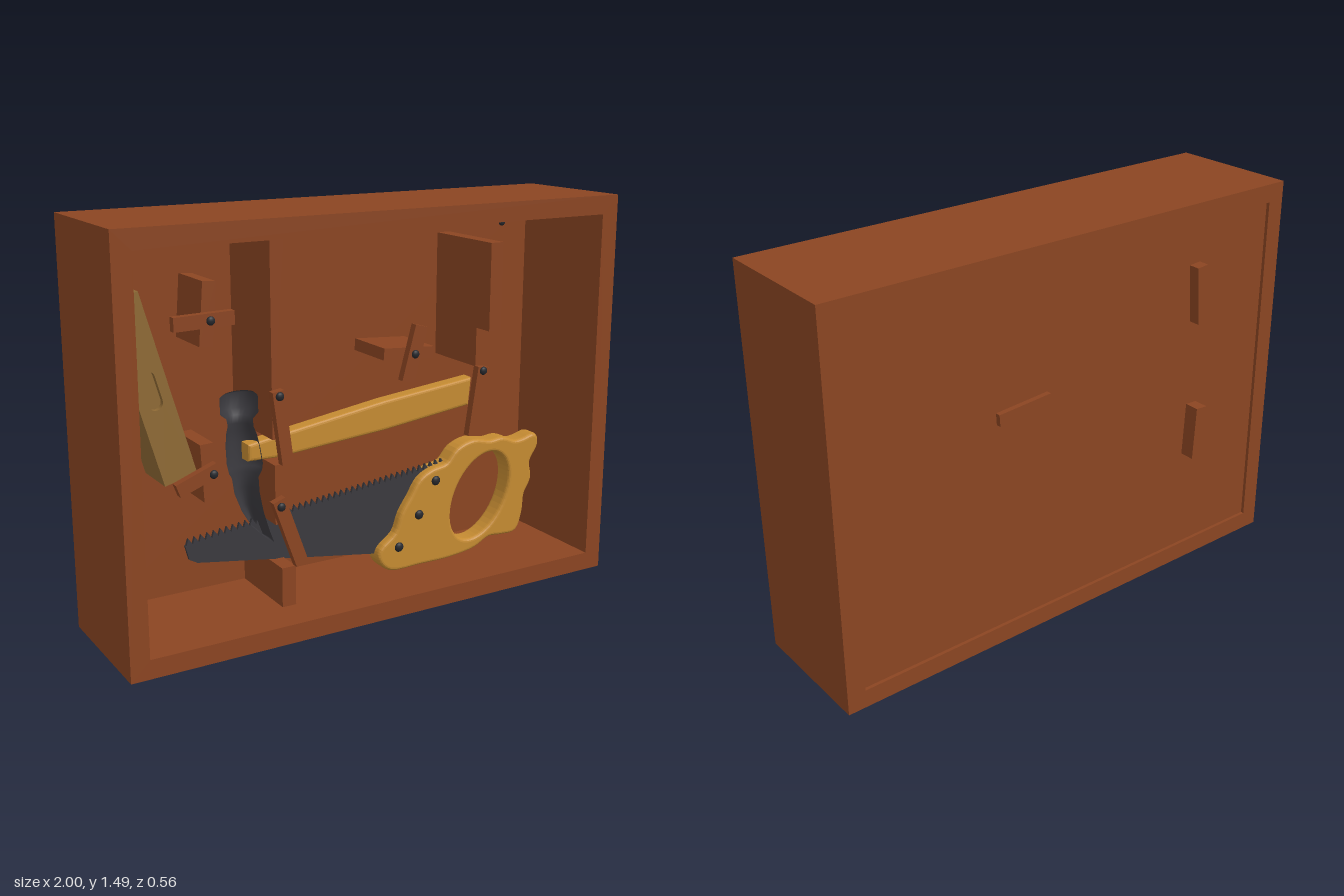
import * as THREE from 'three';

const mat = (name, hex) => {
  const m = new THREE.MeshStandardMaterial({ color: hex });
  m.name = name;
  return m;
};

// Closed loft through elliptical sections [x, y, z, rx, rz, tilt]
function loft(sections, sides = 24) {
  const pos = [], idx = [];
  for (const [x, y, z, rx, rz, t = 0] of sections) {
    for (let i = 0; i < sides; i++) {
      const a = (i / sides) * Math.PI * 2, c = rx * Math.cos(a);
      pos.push(x + c * Math.cos(t), y + c * Math.sin(t), z + rz * Math.sin(a));
    }
  }
  for (let s = 0; s < sections.length - 1; s++) {
    for (let i = 0; i < sides; i++) {
      const j = (i + 1) % sides, a = s * sides + i, b = s * sides + j;
      idx.push(a, a + sides, b, b, a + sides, b + sides);
    }
  }
  const g = new THREE.BufferGeometry();
  g.setAttribute('position', new THREE.Float32BufferAttribute(pos, 3));
  g.setIndex(idx);
  g.computeVertexNormals();
  return g;
}

const polygon = (pts) => new THREE.Shape(pts.map(([x, y]) => new THREE.Vector2(x, y)));

export function createModel() {
  const model = new THREE.Group();
  model.name = 'toolBox';
  const wood = mat('redBrownWood', 0x8b4522);
  const yellow = mat('yellowWood', 0xc58b32);
  const olive = mat('oliveWood', 0x8f6a35);
  const steel = mat('darkSteel', 0x3b3a3f);
  const screwMat = mat('screwBlack', 0x25272c);

  const add = (name, geo, material, parent = model) => {
    const m = new THREE.Mesh(geo, material);
    m.name = name;
    parent.add(m);
    return m;
  };
  // Box between z0 and z1, turned in the front plane
  const block = (name, x, y, w, h, z0, z1, turn = 0, material = wood) => {
    const m = add(name, new THREE.BoxGeometry(w, h, z1 - z0), material);
    m.position.set(x, y, (z0 + z1) / 2);
    m.rotation.z = turn;
    return m;
  };
  const screw = (x, y, z, r = 0.016) => {
    const m = add('screw', new THREE.SphereGeometry(r, 16, 8), screwMat);
    m.position.set(x, y, z);
    m.scale.z = 0.6;
  };

  // Case: four-sided frame with a back panel set in slightly
  const frame = polygon([[-1, 0], [1, 0], [1, 1.49], [-1, 1.49]]);
  frame.holes.push(new THREE.Path([[-0.93, 0.07], [-0.93, 1.42], [0.93, 1.42], [0.93, 0.07]]
    .map(([x, y]) => new THREE.Vector2(x, y))));
  const frameGeo = new THREE.ExtrudeGeometry(frame, { depth: 0.515, bevelEnabled: false });
  frameGeo.translate(0, 0, -0.235);
  add('caseFrame', frameGeo, wood);
  block('backPanel', 0, 0.745, 1.87, 1.36, -0.222, -0.18);
  screw(0.81, 1.35, -0.178, 0.014);

  // Divider boards with gaps for the tools
  block('dividerUpper', -0.362, 1.062, 0.055, 0.716, -0.18, 0.13);
  block('dividerMiddle', -0.355, 0.5, 0.055, 0.22, -0.18, 0.13);
  block('dividerLower', -0.332, 0.145, 0.055, 0.15, -0.18, 0.13);
  for (const [y, z] of [[0.925, 0.08], [0.84, -0.13], [0.535, -0.035]]) {
    const d = add('dividerPlug', new THREE.CylinderGeometry(0.03, 0.03, 0.004, 20), olive);
    d.rotation.z = Math.PI / 2;
    d.position.set(y < 0.6 ? -0.326 : -0.333, y, z);
  }

  // Stepped post on the right
  block('postUpper', 0.528, 1.165, 0.055, 0.33, -0.18, 0.17);
  block('postLower', 0.528, 0.925, 0.055, 0.15, -0.18, 0.09);

  // Blocks that pass through the back panel
  block('upperLeftBlock', -0.572, 1.147, 0.05, 0.225, -0.265, 0.02, -0.08);
  block('lowerLeftBlock', -0.58, 0.583, 0.05, 0.212, -0.28, 0.01, 0.05);
  block('centreBlock', 0.238, 0.92, 0.222, 0.045, -0.242, 0.03, -0.07);

  // Turn buttons: [centre x, y, length, width, back z, turn, screw x, y]
  const buttons = [
    [-0.597, 1.13, 0.225, 0.05, 0.02, 0.02, -0.575, 1.13],
    [-0.632, 0.572, 0.165, 0.05, 0.01, 0.36, -0.575, 0.585],
    [0.245, 0.922, 0.215, 0.055, 0.03, Math.PI / 2 - 0.27, 0.245, 0.922],
    [-0.362, 0.75, 0.268, 0.045, 0.13, Math.PI / 2 + 0.13, -0.375, 0.865],
    [-0.337, 0.362, 0.27, 0.05, 0.13, Math.PI / 2 + 0.34, -0.375, 0.465],
    [0.498, 0.718, 0.27, 0.05, 0.09, Math.PI / 2 - 0.15, 0.515, 0.838],
  ];
  for (const [x, y, l, w, z, turn, sx, sy] of buttons) {
    block('turnButton', x, y, l, w, z, z + 0.03, turn);
    screw(sx, sy, z + 0.032);
  }

  // Spirit level with a sunken slot
  const level = new THREE.Group();
  level.name = 'spiritLevel';
  const face = polygon([[-0.0625, -0.34], [0.0625, -0.34], [0.0625, 0.34], [-0.0625, 0.34]]);
  const slot = new THREE.Path();
  slot.absarc(0, 0.045, 0.026, 0, Math.PI, false);
  slot.absarc(0, -0.045, 0.026, Math.PI, Math.PI * 2, false);
  face.holes.push(slot);
  const faceGeo = new THREE.ExtrudeGeometry(face, { depth: 0.02, bevelEnabled: false });
  add('levelFace', faceGeo, olive, level).position.z = -0.02;
  add('levelBody', new THREE.BoxGeometry(0.125, 0.68, 0.16), olive, level).position.z = -0.1;
  level.position.set(-0.775, 0.9, 0);
  level.rotation.z = 0.282;
  model.add(level);

  // Hammer: striking face, neck, cheek and curved claw
  const z = 0.08;
  const hammerHead = [
    [-0.492, 0.867, z, 0.001, 0.001, 0.1], [-0.492, 0.867, z, 0.058, 0.058, 0.1],
    [-0.492, 0.86, z, 0.066, 0.066, 0.08], [-0.491, 0.805, z, 0.066, 0.066, 0.05],
    [-0.49, 0.785, z, 0.046, 0.046], [-0.487, 0.755, z, 0.044, 0.046],
    [-0.484, 0.725, z, 0.053, 0.056], [-0.48, 0.68, z, 0.06, 0.06],
    [-0.474, 0.62, z, 0.064, 0.06], [-0.472, 0.59, z, 0.058, 0.058, 0.1],
    [-0.474, 0.57, z, 0.044, 0.058, 0.15], [-0.468, 0.51, z, 0.04, 0.062, 0.2],
    [-0.448, 0.44, z, 0.031, 0.066, 0.35], [-0.422, 0.38, z, 0.02, 0.066, 0.5],
    [-0.39, 0.328, z, 0.004, 0.05, 0.6], [-0.39, 0.328, z, 0.0005, 0.001, 0.6],
  ];
  add('hammerHead', loft(hammerHead), steel);

  const grip = polygon([[-0.45, 0.635], [-0.34, 0.632], [0.1, 0.667], [0.466, 0.711],
    [0.476, 0.796], [0.1, 0.756], [-0.34, 0.692], [-0.45, 0.675]]);
  const gripGeo = new THREE.ExtrudeGeometry(grip, {
    depth: 0.04, bevelThickness: 0.012, bevelSize: 0.012, bevelSegments: 3 });
  gripGeo.translate(0, 0, 0.035);
  add('hammerHandle', gripGeo, yellow);

  // Saw blade with teeth along the upper edge
  const blade = [[0.3, 0.14], [0.1, 0.152], [-0.645, 0.268], [-0.675, 0.285], [-0.69, 0.34]];
  const teeth = 44;
  for (let i = 0; i < teeth; i++) {
    const x = -0.685 + (i / teeth) * 1.09, y = 0.338 + (i / teeth) * 0.125;
    blade.push([x, y], [x + 0.008, y + 0.026]);
  }
  blade.push([0.42, 0.44]);
  const bladeGeo = new THREE.ExtrudeGeometry(polygon(blade), { depth: 0.012, bevelEnabled: false });
  bladeGeo.translate(0, 0, 0.024);
  add('sawBlade', bladeGeo, steel);

  // Saw handle: wavy rounded outline around a tilted oval grip hole
  const outline = [[0.1, 0.14], [0.105, 0.17], [0.17, 0.225], [0.2, 0.3], [0.24, 0.36],
    [0.28, 0.42], [0.33, 0.447], [0.4, 0.463], [0.45, 0.514], [0.52, 0.536], [0.6, 0.522],
    [0.66, 0.526], [0.72, 0.504], [0.76, 0.506], [0.818, 0.517], [0.824, 0.488],
    [0.787, 0.42], [0.795, 0.35], [0.765, 0.29], [0.756, 0.21], [0.73, 0.146],
    [0.67, 0.142], [0.6, 0.145], [0.53, 0.112], [0.42, 0.095], [0.28, 0.094], [0.14, 0.098]];
  const curve = new THREE.CatmullRomCurve3(
    outline.map(([x, y]) => new THREE.Vector3(x, y, 0)), true, 'centripetal');
  const handle = polygon(curve.getPoints(108).slice(0, -1).map((p) => [p.x, p.y]));
  const hole = new THREE.Path();
  hole.absellipse(0.555, 0.315, 0.198, 0.137, 0, Math.PI * 2, false, 1.08);
  handle.holes.push(hole);
  const handleGeo = new THREE.ExtrudeGeometry(handle, {
    depth: 0.05, bevelThickness: 0.016, bevelSize: 0.014, bevelSegments: 4, curveSegments: 24 });
  handleGeo.translate(0, 0, 0.005);
  add('sawHandle', handleGeo, yellow);
  for (const [x, y] of [[0.34, 0.415], [0.265, 0.29], [0.175, 0.175]]) screw(x, y, 0.071, 0.019);

  return model;
}
